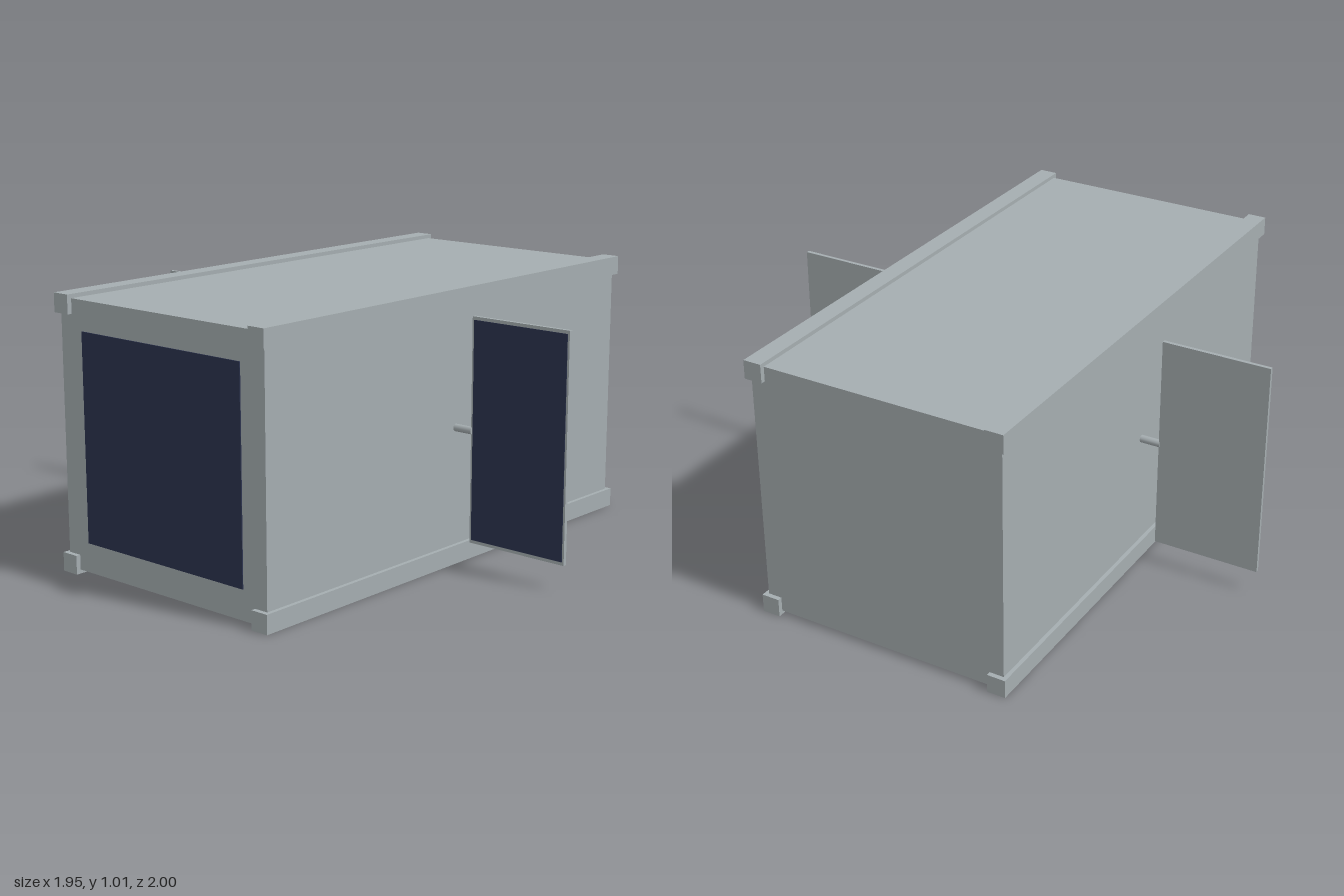
import * as THREE from 'three';

export function createModel() {
  const model = new THREE.Group();
  model.name = 'satelliteModule';
  const grey = new THREE.MeshStandardMaterial({ color: 0xa5adb0 });
  grey.name = 'brushed grey';
  const navy = new THREE.MeshStandardMaterial({ color: 0x2b334e });
  navy.name = 'solar navy';

  const midY = 0.507;

  function box(name, parent, material, size, position) {
    const mesh = new THREE.Mesh(new THREE.BoxGeometry(...size), material);
    mesh.name = name;
    mesh.position.set(...position);
    parent.add(mesh);
    return mesh;
  }

  // Main body with a solar plate on its front
  box('body', model, grey, [0.98, 0.984, 1.964], [0, midY, 0]);
  box('frontSolarPlate', model, navy, [0.764, 0.764, 0.006], [0, midY, 0.983]);

  for (const side of [-1, 1]) {
    const label = side > 0 ? 'left' : 'right';

    // Square rails along the long edges
    for (const level of [-1, 1]) {
      box(label + (level > 0 ? 'TopRail' : 'BottomRail'), model, grey,
        [0.07, 0.07, 2], [side * 0.47, midY + level * 0.472, 0]);
    }

    // Side wing: round arm, framed panel and solar face
    const wing = new THREE.Group();
    wing.name = label + 'Wing';
    wing.position.set(0, midY, 0);
    model.add(wing);

    const armGeometry = new THREE.CylinderGeometry(0.014, 0.014, 0.085, 12);
    armGeometry.rotateZ(Math.PI / 2);
    const arm = new THREE.Mesh(armGeometry, grey);
    arm.name = 'arm';
    arm.position.x = side * 0.525;
    wing.add(arm);

    box('panel', wing, grey, [0.412, 0.83, 0.014], [side * 0.77, 0, -0.001]);
    box('solarFace', wing, navy, [0.396, 0.806, 0.004], [side * 0.77, 0, 0.006]);
  }

  return model;
}
